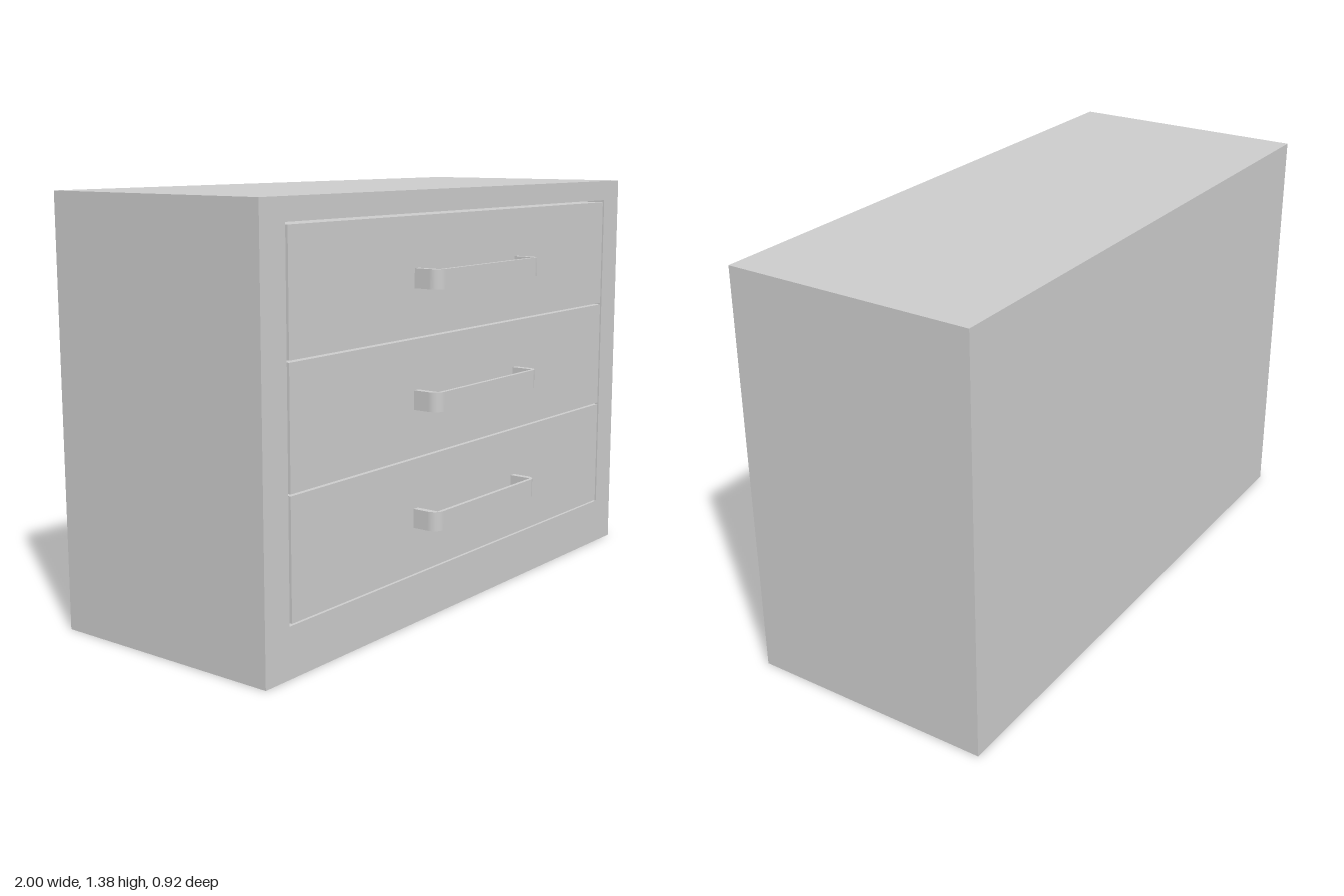
import * as THREE from 'three';

const material = new THREE.MeshStandardMaterial({ color: 0xcccccc });

function addMesh(parent, name, geometry, x = 0, y = 0, z = 0) {
  const mesh = new THREE.Mesh(geometry, material);
  mesh.name = name;
  mesh.position.set(x, y, z);
  parent.add(mesh);
  return mesh;
}

function rectangle(path, x0, y0, x1, y1) {
  path.moveTo(x0, y0);
  path.lineTo(x1, y0);
  path.lineTo(x1, y1);
  path.lineTo(x0, y1);
  path.closePath();
  return path;
}

// U-shaped pull: square inside, rounded outer corners, centred on its height
function handleGeometry(halfWidth, reach, height) {
  const side = 0.022, front = 0.013, r = 0.035;
  const s = new THREE.Shape();
  s.moveTo(halfWidth, 0);
  s.lineTo(halfWidth, reach - r);
  s.absarc(halfWidth - r, reach - r, r, 0, Math.PI / 2, false);
  s.lineTo(-halfWidth + r, reach);
  s.absarc(-halfWidth + r, reach - r, r, Math.PI / 2, Math.PI, false);
  s.lineTo(-halfWidth, 0);
  s.lineTo(-halfWidth + side, 0);
  s.lineTo(-halfWidth + side, reach - front);
  s.lineTo(halfWidth - side, reach - front);
  s.lineTo(halfWidth - side, 0);
  s.closePath();
  const g = new THREE.ExtrudeGeometry(s, { depth: height, bevelEnabled: false, curveSegments: 8 });
  g.rotateX(Math.PI / 2);
  g.translate(0, height / 2, 0);
  return g;
}

export function createModel() {
  const model = new THREE.Group();
  model.name = 'chestOfDrawers';
  const front = 0.37, back = -0.46, height = 1.38, panel = 0.03;

  // Carcass: a deep frame around the drawer opening, closed by a back panel
  const frame = rectangle(new THREE.Shape(), -1, 0, 1, height);
  frame.holes.push(rectangle(new THREE.Path(), -0.895, 0.16, 0.895, 1.31));
  const frameGeometry = new THREE.ExtrudeGeometry(frame, {
    depth: front - back - panel, bevelEnabled: false,
  });
  addMesh(model, 'carcass', frameGeometry, 0, 0, back + panel);
  addMesh(model, 'backPanel', new THREE.BoxGeometry(2, height, panel), 0, height / 2, back + panel / 2);

  // Three drawers, flush with the frame, separated by narrow gaps
  const drawerHeight = 0.375, drawerDepth = 0.78, pitch = 0.381;
  const drawerGeometry = new THREE.BoxGeometry(1.77, drawerHeight, drawerDepth);
  const pull = handleGeometry(0.297, 0.09, 0.062);
  for (let i = 0; i < 3; i++) {
    const drawer = new THREE.Group();
    drawer.name = ['bottomDrawer', 'middleDrawer', 'topDrawer'][i];
    drawer.position.set(0, 0.353 + i * pitch, front);
    addMesh(drawer, 'drawerBox', drawerGeometry, 0, 0, -drawerDepth / 2);
    addMesh(drawer, 'handle', pull, 0, -0.004, 0);
    model.add(drawer);
  }
  return model;
}
